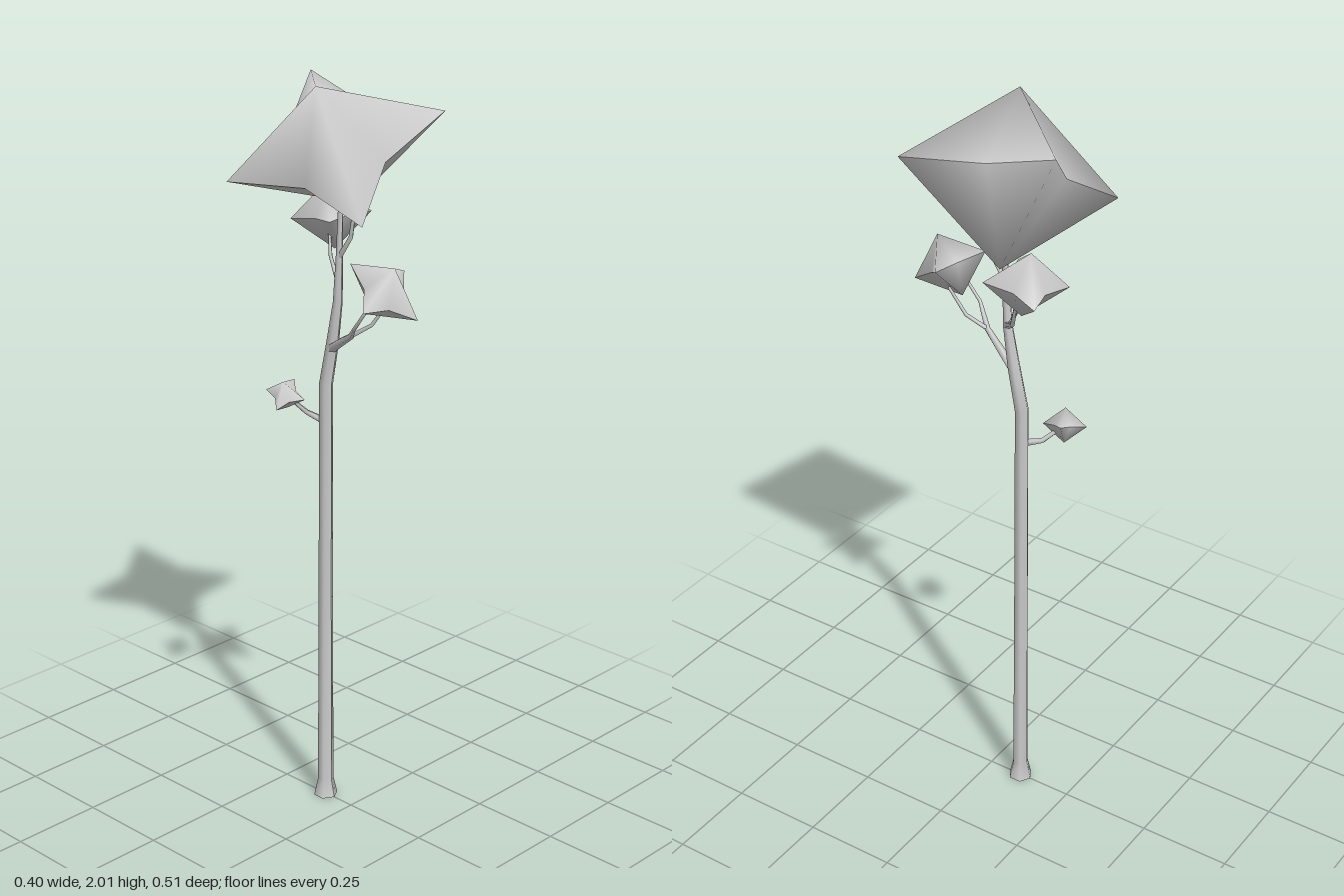
import * as THREE from 'three';

const material = new THREE.MeshStandardMaterial({ color: 0xcccccc, side: THREE.DoubleSide });

// Tapered limb through stations [x, y, z, radius]
function limb(name, stations, sides) {
  const last = stations.length - 1;
  const points = stations.map(([x, y, z]) => new THREE.Vector3(x, y, z));
  const up = new THREE.Vector3(0, 1, 0);
  const turns = points.map((p, i) => {
    const along = points[Math.min(i + 1, last)].clone().sub(points[Math.max(i - 1, 0)]).normalize();
    return new THREE.Quaternion().setFromUnitVectors(up, along);
  });
  const geometry = new THREE.CylinderGeometry(1, 1, 1, sides, last);
  const position = geometry.attributes.position;
  const v = new THREE.Vector3();
  for (let i = 0; i < position.count; i++) {
    v.fromBufferAttribute(position, i);
    const row = Math.round((v.y + 0.5) * last);
    v.setY(0).multiplyScalar(stations[row][3]).applyQuaternion(turns[row]).add(points[row]);
    position.setXYZ(i, v.x, v.y, v.z);
  }
  geometry.computeVertexNormals();
  const mesh = new THREE.Mesh(geometry, material);
  mesh.name = name;
  return mesh;
}

// Leaf clump: a four-pointed star ring with a peak on each side.
// a and b reach from the centre to two neighbouring star tips.
function leafClump(name, centre, a, b) {
  const c = new THREE.Vector3(...centre);
  const va = new THREE.Vector3(...a), vb = new THREE.Vector3(...b);
  const tips = [va, vb, va.clone().negate(), vb.clone().negate()];
  const ring = [];
  tips.forEach((tip, i) => {
    const notch = tip.clone().add(tips[(i + 1) % 4]).multiplyScalar(0.365);
    ring.push(tip, notch);
  });
  const peak = va.clone().cross(vb).setLength(0.78 * va.length());

  // Each half has its own ring, so the rim stays sharp
  const vertices = [], index = [];
  for (const side of [1, -1]) {
    const start = vertices.length;
    vertices.push(peak.clone().multiplyScalar(side).add(c));
    ring.forEach((p) => vertices.push(p.clone().add(c)));
    for (let i = 0; i < 8; i++) {
      const p = start + 1 + i, q = start + 1 + ((i + 1) % 8);
      index.push(start, ...(side > 0 ? [p, q] : [q, p]));
    }
  }
  const geometry = new THREE.BufferGeometry().setFromPoints(vertices);
  geometry.setIndex(index);
  geometry.computeVertexNormals();
  const mesh = new THREE.Mesh(geometry, material);
  mesh.name = name;
  return mesh;
}

export function createModel() {
  const tree = new THREE.Group();
  tree.name = 'tree';

  // Trunk with flared foot and a bend near the top
  tree.add(limb('trunk', [
    [0, 0, -0.097, 0.033], [0, 0.05, -0.097, 0.022], [0.003, 0.6, -0.096, 0.02],
    [0.006, 1.2, -0.095, 0.019], [0.008, 1.32, -0.072, 0.017], [0.006, 1.43, -0.052, 0.013],
    [0.003, 1.56, -0.043, 0.009], [0.004, 1.72, -0.038, 0.006],
  ], 6));

  // Branches and their forked twigs
  tree.add(
    limb('frontBranch', [
      [0.005, 1.3, -0.075, 0.013], [-0.015, 1.335, -0.02, 0.011], [-0.04, 1.37, 0.04, 0.008],
      [-0.088, 1.41, 0.095, 0.005], [-0.08, 1.47, 0.135, 0.004]], 5),
    limb('frontTwig', [
      [-0.04, 1.37, 0.04, 0.006], [-0.018, 1.405, 0.09, 0.005], [-0.015, 1.47, 0.14, 0.004]], 5),
    limb('backBranch', [
      [0.006, 1.43, -0.05, 0.01], [0.04, 1.455, -0.08, 0.008], [0.075, 1.48, -0.11, 0.006],
      [0.1, 1.57, -0.14, 0.004]], 5),
    limb('backTwig', [
      [0.04, 1.455, -0.08, 0.006], [0.045, 1.53, -0.115, 0.005], [0.075, 1.6, -0.15, 0.004]], 5),
    limb('upperBranch', [
      [0.003, 1.55, -0.042, 0.007], [-0.003, 1.61, 0.003, 0.006], [-0.004, 1.72, 0.022, 0.004]], 5),
    limb('lowBranch', [
      [0, 1.1, -0.1, 0.01], [-0.015, 1.115, -0.145, 0.007], [-0.04, 1.15, -0.18, 0.005]], 5),
  );

  // Foliage
  tree.add(
    leafClump('crown', [0.002, 1.83, -0.054], [0.2, 0.085, 0.182], [0.118, 0.145, -0.203]),
    leafClump('frontLeaves', [-0.05, 1.512, 0.16], [0.1, 0.028, -0.025], [-0.02, 0.057, -0.095]),
    leafClump('backLeaves', [0.098, 1.618, -0.165], [0.083, -0.01, -0.077], [0.067, 0.012, 0.08]),
    leafClump('lowLeaves', [-0.048, 1.16, -0.19], [-0.016, 0.005, -0.055], [0.053, 0.025, -0.02]),
  );
  return tree;
}
